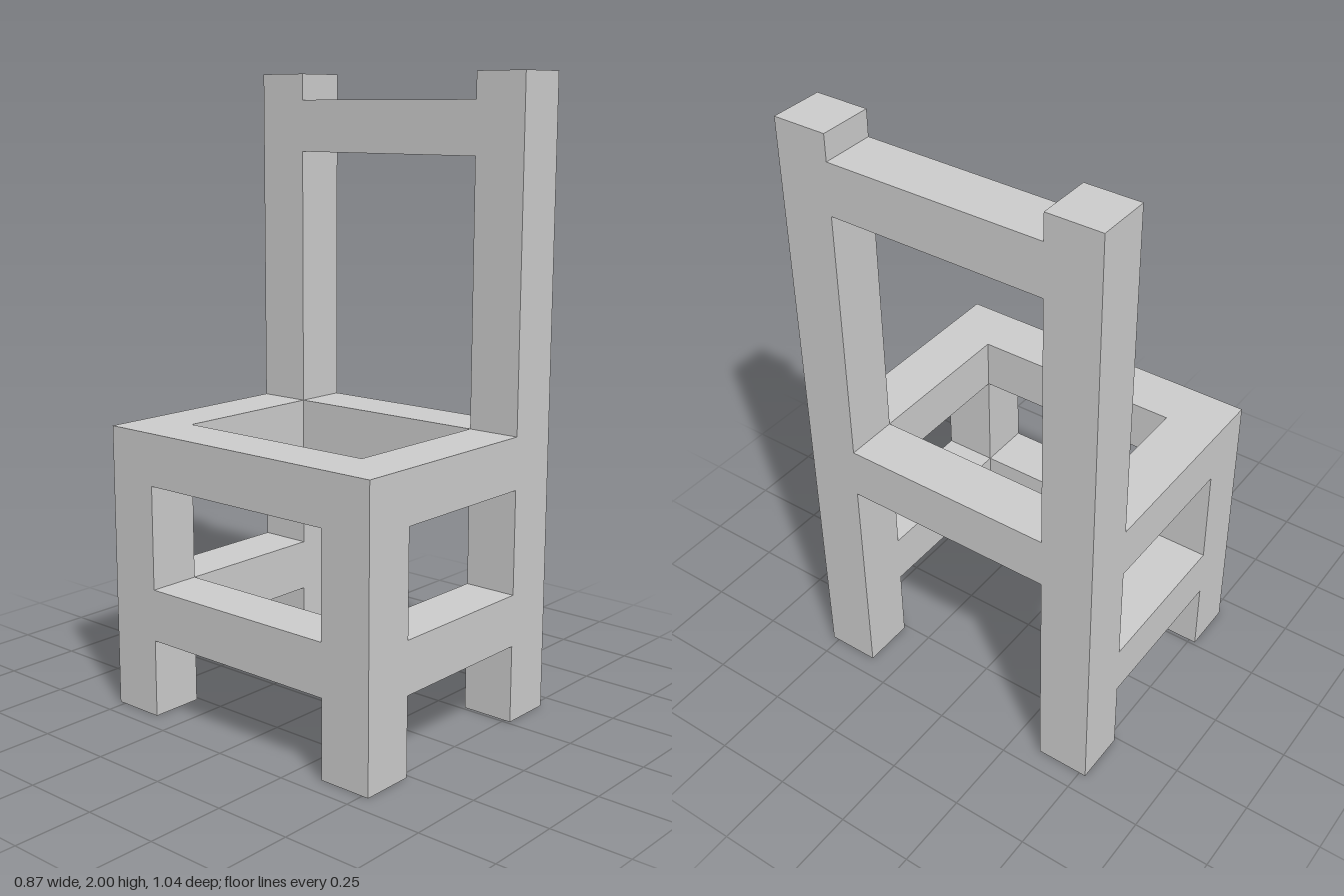
import * as THREE from 'three';

export function createModel() {
  const group = new THREE.Group();
  group.name = 'chair';
  const material = new THREE.MeshStandardMaterial({ color: 0xcccccc, flatShading: true });

  const T = 0.174;            // post width
  const H = 1 / 6;            // rail height
  const X = 0.435, Z = 0.522; // outer half sizes
  const px = X - T / 2, pz = Z - T / 2; // post centres

  const bar = (name, w, h, d, x, bottom, z) => {
    const mesh = new THREE.Mesh(new THREE.BoxGeometry(w, h, d), material);
    mesh.name = name;
    mesh.position.set(x, bottom + h / 2, z);
    group.add(mesh);
  };

  // Posts and side rails, mirrored across z; the chair faces -x
  for (const [side, s] of [['Left', 1], ['Right', -1]]) {
    bar('frontLeg' + side, T, 0.75 + H, T, -px, 0, s * pz);
    bar('backPost' + side, T, 2, T, px, 0, s * pz);
    bar('sideStretcher' + side, 2 * (X - T), H, T, 0, 0.25, s * pz);
    bar('seatSideRail' + side, 2 * (X - T), H, T, 0, 0.75, s * pz);
  }

  // Cross rails between the two sides
  const span = 2 * (Z - T);
  bar('frontStretcher', T, H, span, -px, 0.25, 0);
  bar('seatFrontRail', T, H, span, -px, 0.75, 0);
  bar('seatBackRail', T, H, span, px, 0.75, 0);
  bar('topRail', T, H, span, px, 1.75, 0);

  return group;
}
